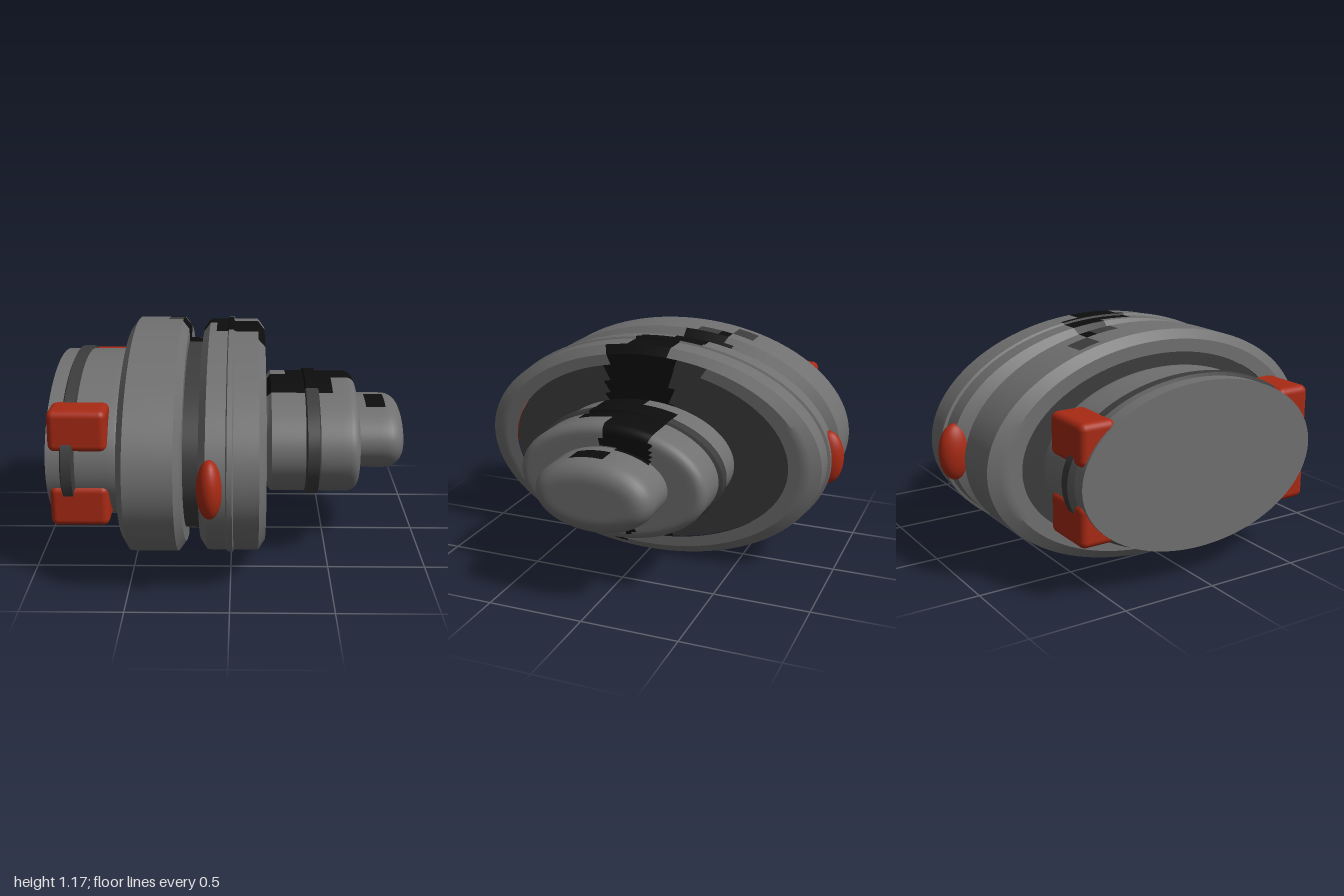
import * as THREE from 'three';
import { toCreasedNormals } from 'three/addons/utils/BufferGeometryUtils.js';
import { RoundedBoxGeometry } from 'three/addons/geometries/RoundedBoxGeometry.js';

const CY = 0.59; // height of the long axis
const SEG = 96;

const mat = (name, color) => {
  const m = new THREE.MeshStandardMaterial({ color });
  m.name = name;
  return m;
};

// Scorched zones: [material slot, x0, x1, y0, y1, z0, z1]; slot 1 = soot, 2 = dark grey
const ZONES = [
  [1, -0.28, -0.18, 0.8, 2, -0.31, -0.05],
  [1, -0.36, -0.28, 0.8, 2, -0.31, -0.22],
  [1, -0.18, 0.0, 0.8, 2, -0.22, -0.04],
  [1, -0.09, 0.175, 0.85, 2, -0.14, 0.13],
  [1, 0.14, 0.175, 0.8, 1.16, -0.14, 0.22],
  [1, 0.175, 0.54, 0.7, 2, -0.04, 0.21],
  [1, 0.27, 0.66, 0.7, 2, -0.22, -0.04],
  [1, 0.54, 0.66, 0.78, 2, -0.14, 0.04],
  [1, 0.72, 0.8, 0.7, 2, -0.04, 0.13],
  [1, 0.64, 0.66, 0.34, 0.41, -0.13, 0.08],
  [1, 0.14, 0.17, 0.06, 0.32, -0.14, 0.22],
  [1, -0.23, -0.15, 0, 0.2, -0.14, 0.22],
  [2, 0.14, 0.175, 0.85, 1.1, -0.3, -0.14],
  [2, -0.45, -0.36, 0.8, 2, -0.4, -0.31],
  [2, -0.36, -0.27, 0.8, 2, -0.22, -0.13]
];

function slotAt(x, y, z) {
  const hit = ZONES.find(([, a, b, c, d, e, f]) =>
    x > a && x < b && y > c && y < d && z > e && z < f);
  return hit ? hit[0] : 0;
}

// Lofts ellipses along x; profile points are [x, vertical radius, depth radius]
function loft(profile) {
  const rows = [profile[0]];
  for (let i = 1; i < profile.length; i++) {
    const a = profile[i - 1], b = profile[i];
    const n = Math.ceil(Math.hypot(b[0] - a[0], b[1] - a[1], b[2] - a[2]) / 0.04);
    for (let k = 1; k <= n; k++) rows.push(a.map((v, c) => v + (b[c] - v) * k / n));
  }
  const pos = [];
  for (const [x, ry, rz] of rows) {
    for (let j = 0; j < SEG; j++) {
      const t = j / SEG * Math.PI * 2;
      pos.push(x, CY + ry * Math.cos(t), rz * Math.sin(t));
    }
  }
  const lists = [[], [], []];
  for (let i = 0; i < rows.length - 1; i++) {
    for (let j = 0; j < SEG; j++) {
      const a = i * SEG + j, b = i * SEG + (j + 1) % SEG;
      const c = a + SEG, d = b + SEG;
      const mid = [0, 1, 2].map(k => (pos[a * 3 + k] + pos[d * 3 + k]) / 2);
      lists[slotAt(...mid)].push(a, b, c, b, d, c);
    }
  }
  const geo = new THREE.BufferGeometry();
  geo.setAttribute('position', new THREE.Float32BufferAttribute(pos, 3));
  geo.setIndex(lists.flat());
  let start = 0;
  lists.forEach((l, i) => {
    if (l.length) geo.addGroup(start, l.length, i);
    start += l.length;
  });
  return toCreasedNormals(geo, 0.5);
}

// Quarter-round nose running from the full radius to a flat end
function roundEnd(x, ry, rz, r, steps = 6) {
  return Array.from({ length: steps + 1 }, (_, i) => {
    const t = i / steps * Math.PI / 2, inset = r * (1 - Math.cos(t));
    return [x - r + r * Math.sin(t), ry - inset, rz - inset];
  });
}

export function createModel() {
  const group = new THREE.Group();
  const grey = mat('hull grey', 0x707070);
  const dark = mat('dark grey', 0x3c3c3c);
  const soot = mat('soot black', 0x0d0d0d);
  const red = mat('red', 0xa82a14);

  const add = (name, geo, material) => {
    const m = new THREE.Mesh(geo, material);
    m.name = name;
    group.add(m);
    return m;
  };
  const body = (name, profile, base = grey) => add(name, loft(profile), [base, soot, dark]);

  // Core running through both large rings
  body('core', [[-0.525, 0.001, 0.001], [-0.525, 0.475, 0.775],
    [0.162, 0.475, 0.775], [0.162, 0.001, 0.001]], dark);

  // Large rings with chamfered rims
  const ring = (name, x0, x1, ry, rz) => body(name, [
    [x0, 0.475, 0.775], [x0, ry - 0.045, rz - 0.075], [x0 + 0.035, ry, rz],
    [x1 - 0.035, ry, rz], [x1, ry - 0.045, rz - 0.075], [x1, 0.475, 0.775]]);
  ring('rearRing', -0.535, -0.228, 0.585, 0.94);
  ring('frontRing', -0.15, 0.172, 0.575, 0.94);

  // Narrow raised bands
  const band = (name, x0, x1, ry, rz, base) => body(name, [
    [x0, ry - 0.03, rz - 0.04], [x0 + 0.015, ry, rz],
    [x1 - 0.015, ry, rz], [x1, ry - 0.03, rz - 0.04]], base);
  band('ringRib', -0.03, 0.025, 0.585, 0.955, grey);
  band('rearBand', -0.835, -0.755, 0.43, 0.70, dark);
  band('bossBand', 0.37, 0.46, 0.312, 0.52, dark);

  // Rear drum, front boss and nose
  body('rearDrum', [[-0.9, 0.001, 0.001], [-0.9, 0.415, 0.67],
    ...roundEnd(-0.53, 0.415, 0.67, 0.035)]);
  body('frontBoss', [[0.16, 0.26, 0.45], [0.18, 0.27, 0.46], [0.205, 0.3, 0.5],
    ...roundEnd(0.653, 0.3, 0.5, 0.05), [0.653, 0.001, 0.001]]);
  body('nose', [[0.64, 0.187, 0.31], ...roundEnd(0.9, 0.187, 0.31, 0.09),
    [0.9, 0.001, 0.001]]);

  // Red clamps and side lamps, mirrored front to back
  for (const s of [1, -1]) {
    for (const y of [0.785, 0.4]) {
      add('clamp', new RoundedBoxGeometry(0.29, 0.21, 0.19, 4, 0.035), red)
        .position.set(-0.743, y, s * 0.57);
    }
    const lamp = add('sideLamp', new THREE.SphereGeometry(1, 32, 20), red);
    lamp.scale.set(0.062, 0.145, 0.085);
    lamp.position.set(-0.095, 0.595, s * 0.915);
  }
  return group;
}
